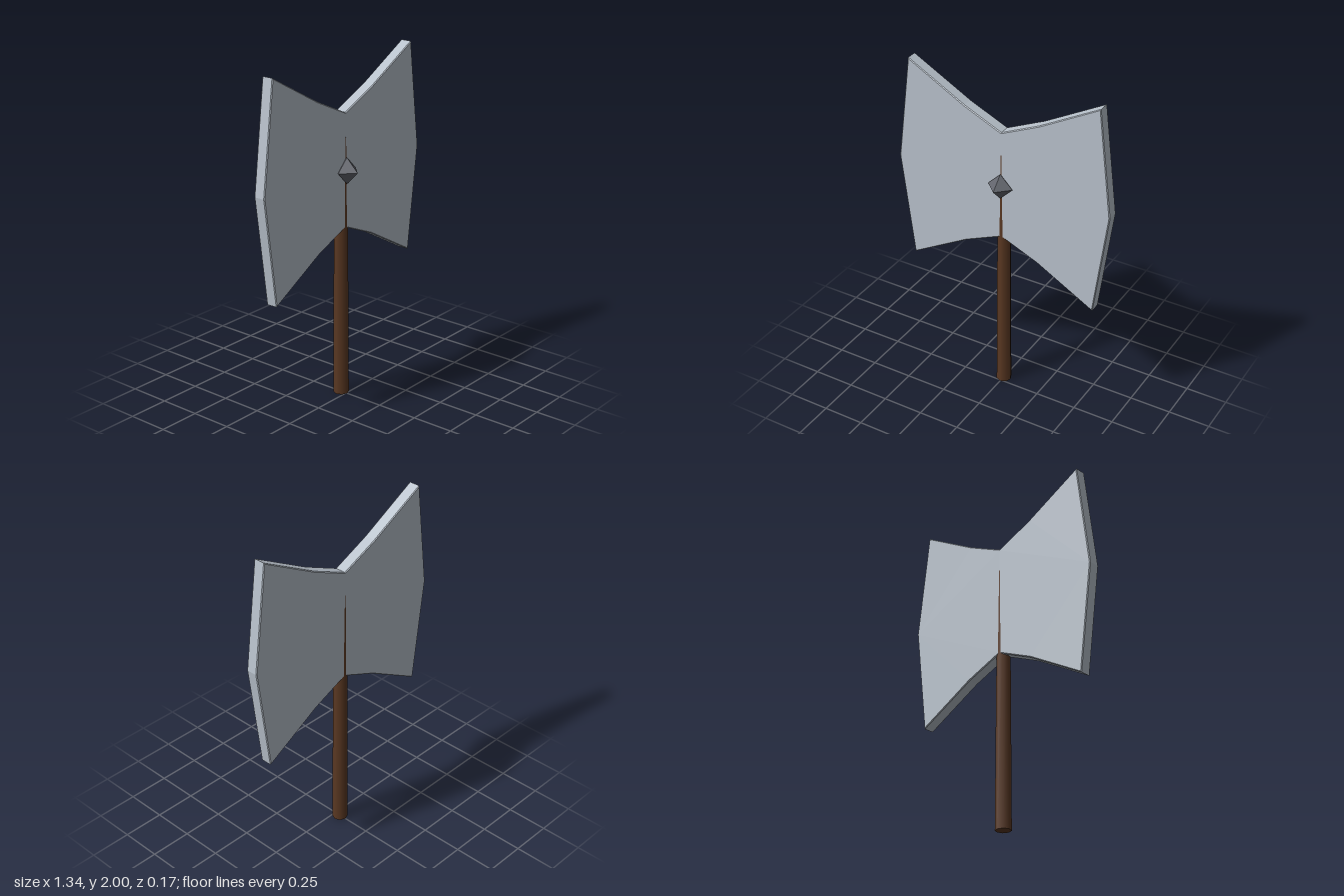
import * as THREE from 'three';

const MID_Z = -0.038; // centre plane of blade and handle

function part(name, geometry, color, flatShading = false) {
  const mesh = new THREE.Mesh(geometry, new THREE.MeshStandardMaterial({ color, flatShading }));
  mesh.name = name;
  return mesh;
}

// Double-sided blade: half outline mirrored across x = 0, slightly bevelled
function bladeGeometry() {
  const half = [[0, 1.7], [0.232, 1.805], [0.588, 2], [0.669, 1.368], [0.588, 0.735], [0.232, 0.934], [0, 1.033]];
  const mirrored = half.slice(1, -1).reverse().map(([x, y]) => [-x, y]);
  const outline = [...half, ...mirrored].reverse().map(([x, y]) => new THREE.Vector2(x, y));
  const bevel = 0.005, thickness = 0.072;
  const geometry = new THREE.ExtrudeGeometry(new THREE.Shape(outline), {
    depth: thickness - 2 * bevel,
    bevelEnabled: true,
    bevelThickness: bevel,
    bevelSize: bevel,
    bevelOffset: -bevel,
    bevelSegments: 1,
  });
  return geometry.translate(0, 0, MID_Z - thickness / 2 + bevel);
}

export function createModel() {
  const group = new THREE.Group();
  group.name = 'doubleAxe';

  group.add(part('blade', bladeGeometry(), 0xb9c2cc, true));

  // Tapered eight-sided handle whose ridges just break through the blade faces
  const height = 1.56;
  const handle = part('handle', new THREE.CylinderGeometry(0.0372, 0.0455, height, 8), 0x5a3822);
  handle.position.set(0, height / 2, MID_Z);
  group.add(handle);

  // Octahedral stud on the front face
  const stud = part('stud', new THREE.OctahedronGeometry(0.077), 0x63666e, true);
  stud.position.set(0, 1.368, 0.006);
  group.add(stud);

  return group;
}
